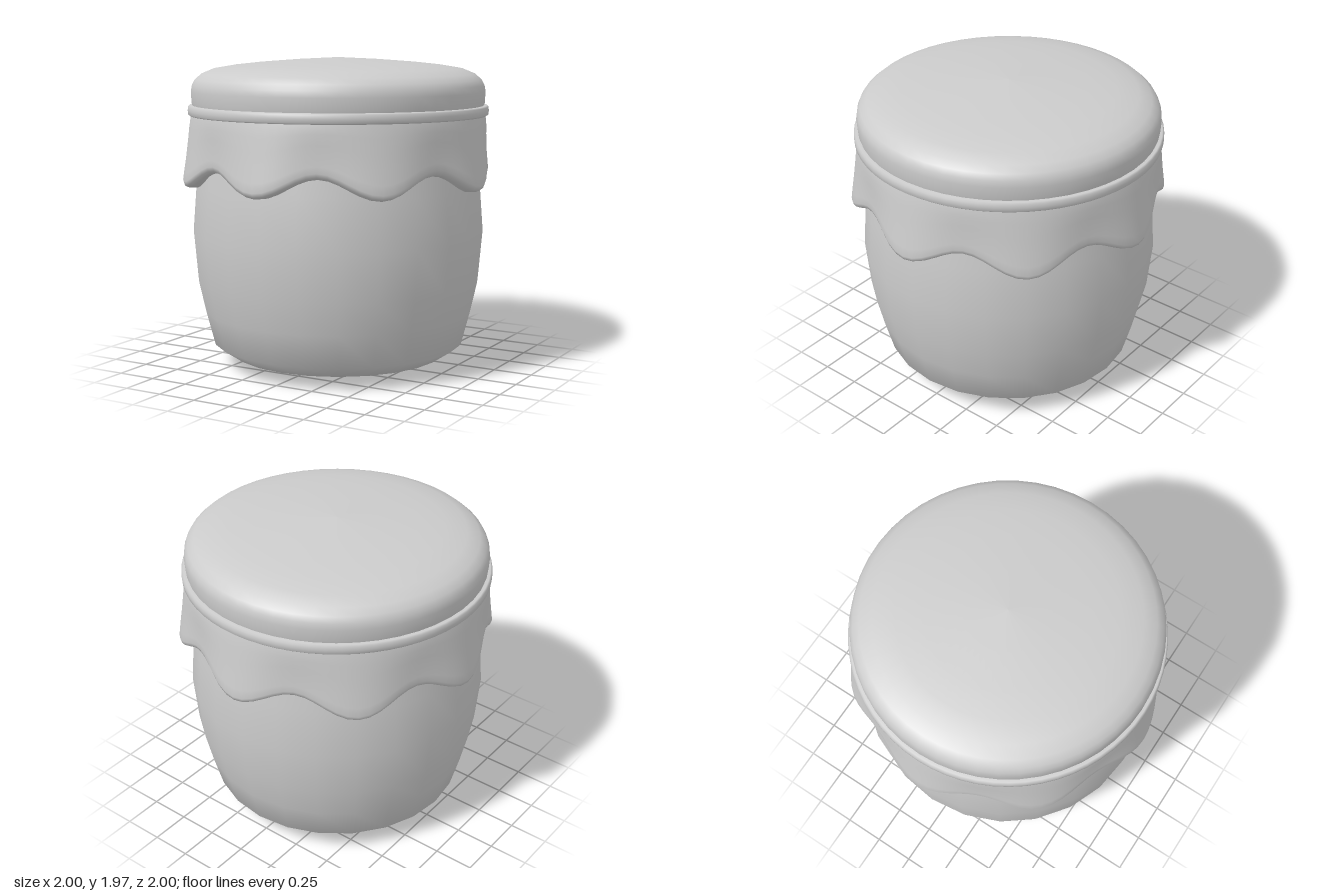
import * as THREE from 'three';
import { mergeVertices } from 'three/addons/utils/BufferGeometryUtils.js';

const material = new THREE.MeshStandardMaterial({ color: 0xcccccc });

// Turned part with a [radius, height] profile running from bottom to top
// on the outside; an optional rule moves each vertex.
function turned(name, profile, sides, rule) {
  const points = profile.map(([r, y]) => new THREE.Vector2(r, y));
  let geometry = new THREE.LatheGeometry(points, sides);
  if (rule) {
    const pos = geometry.attributes.position;
    const v = new THREE.Vector3();
    for (let i = 0; i < pos.count; i++) {
      rule(v.fromBufferAttribute(pos, i));
      pos.setXYZ(i, v.x, v.y, v.z);
    }
    // Weld the seam so the smooth normals run all the way round
    geometry.deleteAttribute('uv');
    geometry.deleteAttribute('normal');
    geometry = mergeVertices(geometry, 1e-4);
    geometry.computeVertexNormals();
  }
  const mesh = new THREE.Mesh(geometry, material);
  mesh.name = name;
  return mesh;
}

// Eight scallops: the cloth hangs low and flares out every 45 degrees
function scallop(v) {
  const angle = Math.atan2(v.x, v.z);
  const rise = (1 - Math.cos(8 * angle)) / 2;
  const drop = THREE.MathUtils.clamp((1.61 - v.y) / 0.4, 0, 1);
  const r = Math.hypot(v.x, v.z);
  const flare = THREE.MathUtils.clamp((r - 0.89) / 0.08, 0, 1);
  const scale = (r - 0.05 * rise * drop * flare) / r;
  v.x *= scale;
  v.z *= scale;
  v.y += 0.125 * rise * drop;
}

export function createModel() {
  const jar = new THREE.Group();
  jar.name = 'coveredJar';

  // Pot-bellied jar with a slightly domed base
  jar.add(turned('jarBody', [
    [0, 0.005], [0.3, 0.02], [0.58, 0.043], [0.69, 0.07], [0.81, 0.15],
    [0.865, 0.36], [0.91, 0.56], [0.936, 0.86], [0.912, 1.17],
    [0.885, 1.32], [0.87, 1.5], [0.86, 1.64],
  ], 24));

  // Cloth skirt with a thick hem turned in against the jar
  jar.add(turned('clothSkirt', [
    [0.87, 1.24], [0.89, 1.18], [0.92, 1.165], [0.965, 1.168], [0.99, 1.18],
    [0.998, 1.205], [0.99, 1.26], [0.977, 1.34], [0.962, 1.44],
    [0.95, 1.53], [0.937, 1.61], [0.925, 1.65],
  ], 96, scallop));

  // Band tied round the neck
  jar.add(turned('neckBand', [
    [0.9, 1.61], [0.945, 1.61], [0.955, 1.618], [0.957, 1.642],
    [0.955, 1.665], [0.945, 1.674], [0.9, 1.674],
  ], 64));

  // Domed cloth over the lid
  jar.add(turned('lidTop', [
    [0.92, 1.65], [0.931, 1.69], [0.935, 1.76], [0.928, 1.8], [0.91, 1.835],
    [0.87, 1.87], [0.79, 1.903], [0.66, 1.925], [0.5, 1.942],
    [0.26, 1.96], [0, 1.973],
  ], 48));

  return jar;
}
